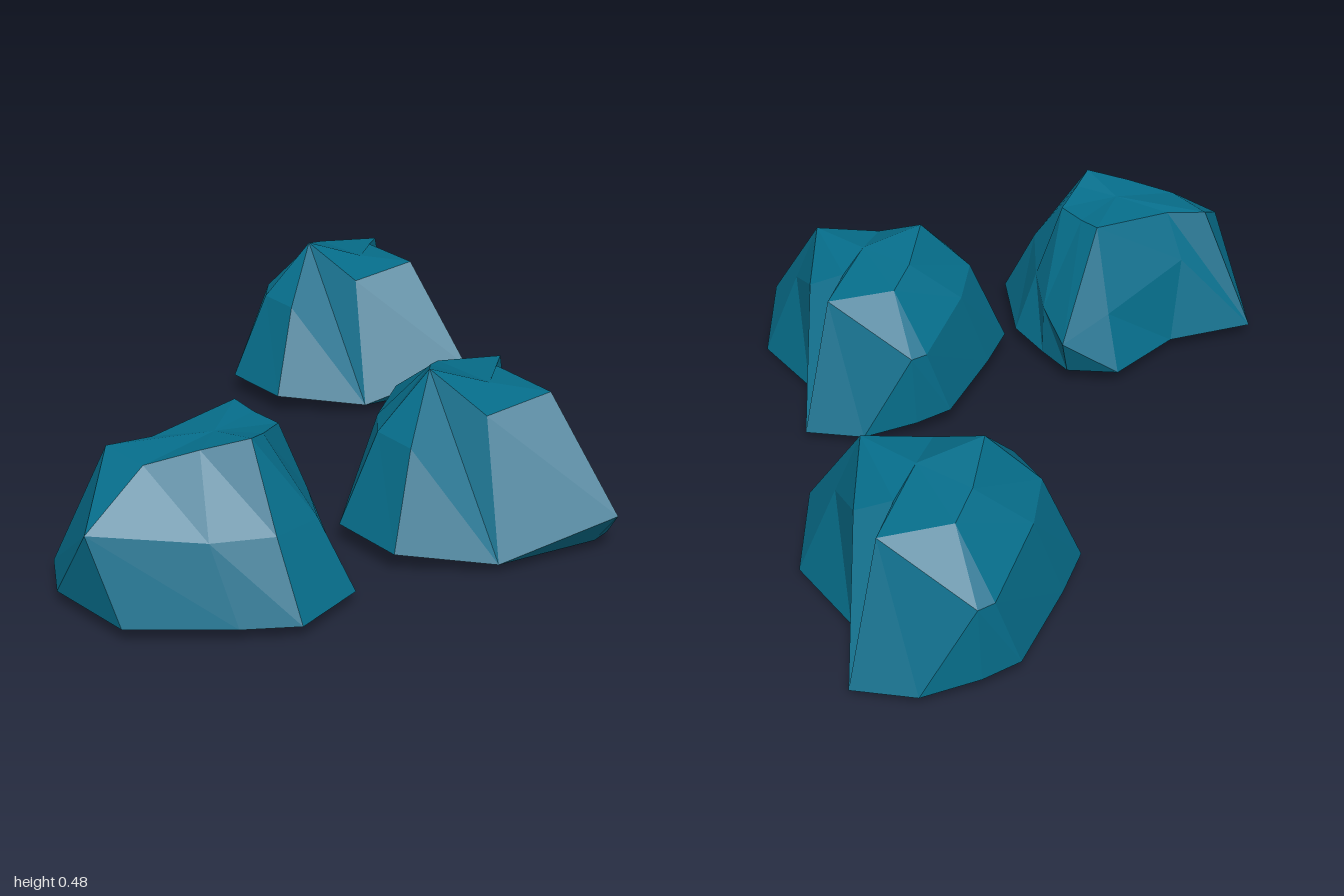
import * as THREE from 'three';

const material = new THREE.MeshStandardMaterial({ color: 0x066e8b, flatShading: true, side: THREE.DoubleSide });

// Skins a hollow boulder, open underneath: each row is one vertical strip of points
// (foot, waist, shoulder), going round back -> right -> front -> left, under a crown point.
// Where a strip repeats a point, the facets there merge into one larger triangle.
function boulder(name, strips, crown) {
  const out = [];
  const v = strips.map((s) => [0, 3, 6].map((k) => new THREE.Vector3(s[k], s[k + 1], s[k + 2])));
  const top = new THREE.Vector3(...crown);
  const tri = (a, b, c) => {
    if (a.equals(b) || b.equals(c) || a.equals(c)) return;
    for (const p of [a, b, c]) out.push(p.x, p.y, p.z);
  };
  v.forEach((a, i) => {
    const b = v[(i + 1) % v.length];
    for (let k = 0; k < 2; k++) {
      tri(a[k], a[k + 1], b[k + 1]);
      tri(a[k], b[k + 1], b[k]);
    }
    tri(top, b[2], a[2]);
  });
  const geometry = new THREE.BufferGeometry();
  geometry.setAttribute('position', new THREE.Float32BufferAttribute(out, 3));
  geometry.computeVertexNormals();
  const mesh = new THREE.Mesh(geometry, material);
  mesh.name = name;
  return mesh;
}

export function createModel() {
  const group = new THREE.Group();
  group.name = 'rocks';

  // Peaked rock with a notch in its back
  const backRock = boulder('backRock', [
    [-0.73, 0.02, -1.0, -0.73, 0.02, -1.0, -0.67, 0.39, -0.87],
    [-0.52, 0.02, -0.87, -0.51, 0.36, -0.84, -0.59, 0.41, -0.77],
    [-0.23, 0.0, -0.86, -0.29, 0.26, -0.77, -0.33, 0.43, -0.71],
    [-0.18, 0.03, -0.75, -0.105, 0.13, -0.75, -0.33, 0.43, -0.71],
    [-0.25, 0.03, -0.45, -0.25, 0.03, -0.45, -0.39, 0.39, -0.53],
    [-0.43, 0.06, -0.24, -0.48, 0.32, -0.34, -0.57, 0.48, -0.49],
    [-0.66, 0.06, -0.25, -0.62, 0.32, -0.35, -0.57, 0.48, -0.49],
    [-0.76, 0.06, -0.38, -0.74, 0.30, -0.46, -0.68, 0.43, -0.60],
    [-0.92, 0.06, -0.62, -0.91, 0.27, -0.69, -0.74, 0.40, -0.69],
    [-0.91, 0.05, -0.73, -0.91, 0.27, -0.74, -0.74, 0.40, -0.69],
    [-0.86, 0.03, -0.88, -0.86, 0.03, -0.88, -0.67, 0.39, -0.87],
  ], [-0.50, 0.42, -0.65]);

  // The same rock again, further right and forward
  const middleRock = backRock.clone();
  middleRock.name = 'middleRock';
  middleRock.position.set(1.025, 0, 0.455);

  // Broader rock with a sloping front face and a hollow left flank
  const frontRock = boulder('frontRock', [
    [0.11, 0.04, 0.26, 0.08, 0.16, 0.22, 0.20, 0.44, 0.43],
    [0.24, 0.04, 0.26, 0.25, 0.19, 0.27, 0.28, 0.43, 0.43],
    [0.40, 0.04, 0.27, 0.39, 0.22, 0.34, 0.38, 0.43, 0.43],
    [0.65, 0.04, 0.40, 0.57, 0.24, 0.46, 0.44, 0.45, 0.53],
    [0.70, 0.04, 0.62, 0.60, 0.25, 0.62, 0.48, 0.47, 0.60],
    [0.61, 0.04, 0.75, 0.52, 0.25, 0.77, 0.40, 0.44, 0.70],
    [0.42, 0.04, 0.97, 0.32, 0.27, 1.0, 0.31, 0.40, 0.81],
    [0.15, 0.04, 0.98, 0.32, 0.27, 1.0, 0.15, 0.40, 0.81],
    [0.0, 0.04, 0.89, 0.0, 0.04, 0.89, 0.15, 0.40, 0.81],
    [0.07, 0.04, 0.63, 0.12, 0.28, 0.70, 0.20, 0.41, 0.70],
    [0.0, 0.05, 0.37, 0.08, 0.21, 0.39, 0.20, 0.44, 0.43],
  ], [0.33, 0.44, 0.60]);

  group.add(backRock, middleRock, frontRock);
  return group;
}
